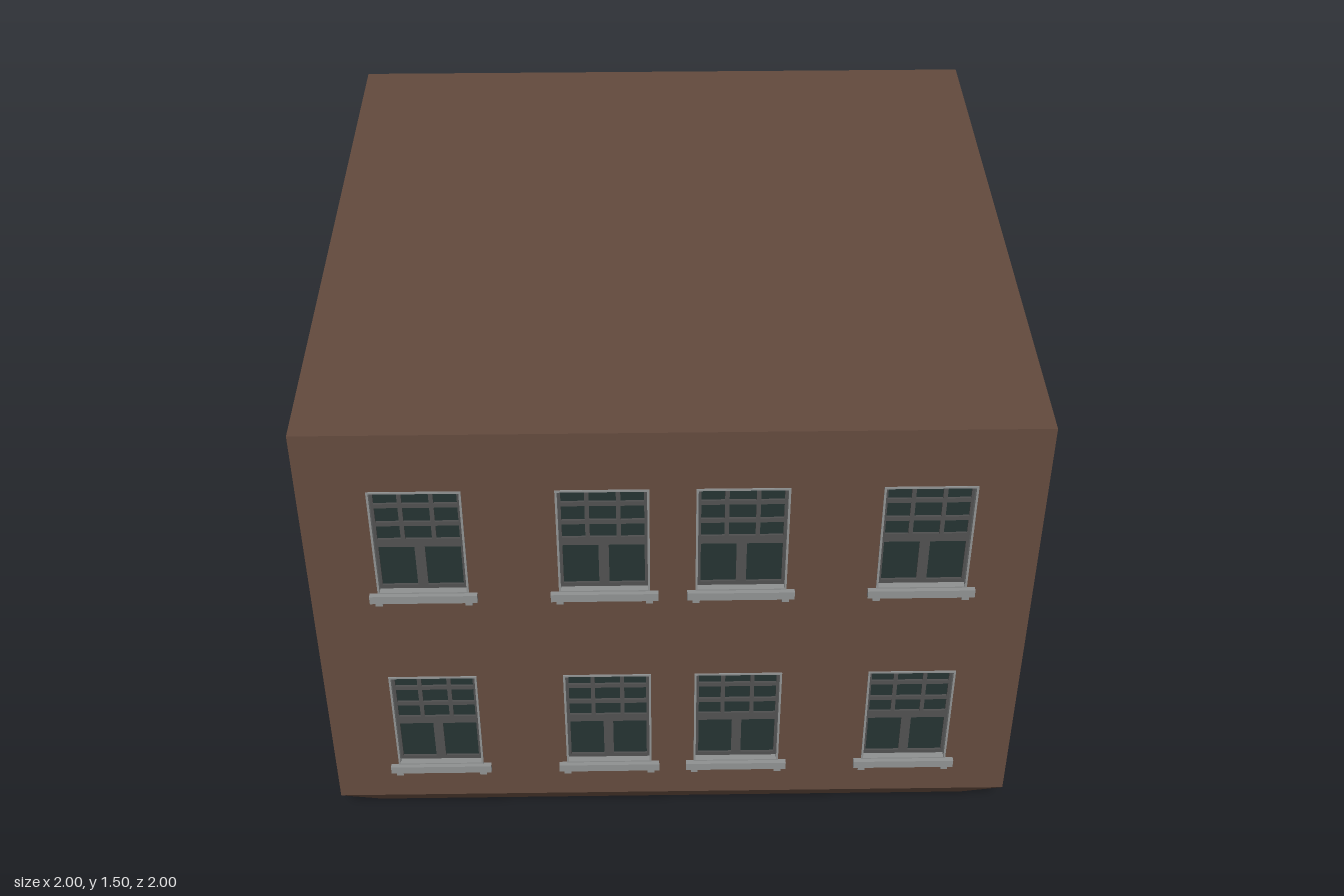
import * as THREE from 'three';

const brick = new THREE.MeshStandardMaterial({ name: 'brown brick', color: 0x634a3d, side: THREE.DoubleSide });
const glass = new THREE.MeshStandardMaterial({ name: 'dark glass', color: 0x243332, side: THREE.DoubleSide });
const sash = new THREE.MeshStandardMaterial({ name: 'dark grey sash', color: 0x505050 });
const stone = new THREE.MeshStandardMaterial({ name: 'pale grey stone', color: 0x8f9191 });

// Shell sizes: half width, base height, roof height, base inset
const HALF = 0.9925, BASE = 0.13, TOP = 1.495, INSET = 0.1;
// Window grid and opening size
const COLUMNS = [-0.683, -0.187, 0.187, 0.683];
const ROWS = [0.263, 0.945];
const W = 0.25, H = 0.362;

function add(parent, name, geometry, material, x = 0, y = 0, z = 0) {
  const mesh = new THREE.Mesh(geometry, material);
  mesh.name = name;
  mesh.position.set(x, y, z);
  parent.add(mesh);
  return mesh;
}

function box(parent, name, material, w, h, d, x, y, z) {
  return add(parent, name, new THREE.BoxGeometry(w, h, d), material, x, y, z);
}

function rect(Type, x0, y0, x1, y1) {
  return new Type([[x0, y0], [x1, y0], [x1, y1], [x0, y1]].map(([x, y]) => new THREE.Vector2(x, y)));
}

// Recessed sash window; origin at the bottom centre of the opening, on the wall plane
function createWindow() {
  const g = new THREE.Group();
  g.name = 'window';

  // Thin casing lining the opening
  const ring = rect(THREE.Shape, -W / 2, 0, W / 2, H);
  ring.holes.push(rect(THREE.Path, -W / 2 + 0.006, 0.006, W / 2 - 0.006, H - 0.006));
  add(g, 'casing', new THREE.ExtrudeGeometry(ring, { depth: 0.033, bevelEnabled: false }), stone, 0, 0, -0.03);

  add(g, 'glass', new THREE.PlaneGeometry(W - 0.012, H - 0.012), glass, 0, H / 2, -0.022);

  // Sash border and rails
  const bar = (name, w, h, x, y) => box(g, name, sash, w, h, 0.012, x, y, -0.022);
  for (const s of [-1, 1]) bar('stile', 0.008, H - 0.012, s * (W / 2 - 0.01), H / 2);
  bar('topRail', W - 0.02, 0.008, 0, H - 0.01);
  bar('bottomRail', W - 0.02, 0.014, 0, 0.012);
  bar('meetingRail', W - 0.02, 0.028, 0, 0.17);

  // Three by three upper panes, two lower panes
  for (const y of [0.237, 0.3]) bar('upperCrossBar', W - 0.02, 0.014, 0, y);
  for (const s of [-1, 1]) bar('upperUprightBar', 0.012, 0.18, s * 0.042, 0.265);
  bar('lowerUprightBar', 0.028, 0.155, 0, 0.09);

  // Sill with a small bracket under each end
  box(g, 'sill', stone, 0.295, 0.026, 0.045, 0, -0.011, -0.0075);
  for (const s of [-1, 1]) box(g, 'sillBracket', stone, 0.02, 0.014, 0.036, s * 0.123, -0.03, -0.007);
  return g;
}

// Wall sheet with openings and its windows, facing +z
function createFacade(name) {
  const g = new THREE.Group();
  g.name = name;
  const shape = rect(THREE.Shape, -HALF, BASE, HALF, TOP);
  for (const x of COLUMNS) {
    for (const y of ROWS) {
      shape.holes.push(rect(THREE.Path, x - W / 2, y, x + W / 2, y + H));
      const win = createWindow();
      win.position.set(x, y, HALF);
      g.add(win);
    }
  }
  add(g, 'wall', new THREE.ShapeGeometry(shape), brick, 0, 0, HALF);
  return g;
}

export function createModel() {
  const model = new THREE.Group();
  model.name = 'cornerBuilding';
  const shell = new THREE.Group();
  shell.name = 'shell';
  shell.position.set(-0.0075, 0, -0.0075);
  model.add(shell);

  // Two windowed walls; the other two sides stay open
  shell.add(createFacade('frontFacade'));
  const side = createFacade('leftFacade');
  side.rotation.y = Math.PI / 2;
  shell.add(side);

  // Flat roof and floor sheets
  const sheet = (size) => new THREE.PlaneGeometry(size, size).rotateX(-Math.PI / 2);
  add(shell, 'roof', sheet(2 * HALF), brick, 0, TOP, 0);
  add(shell, 'floor', sheet(2 * (HALF - INSET)), brick);

  // Sloping base on all four sides
  const base = new THREE.CylinderGeometry(HALF * Math.SQRT2, (HALF - INSET) * Math.SQRT2, BASE, 4, 1, true)
    .rotateY(Math.PI / 4).toNonIndexed();
  base.computeVertexNormals();
  add(shell, 'slopingBase', base, brick, 0, BASE / 2, 0);
  return model;
}
